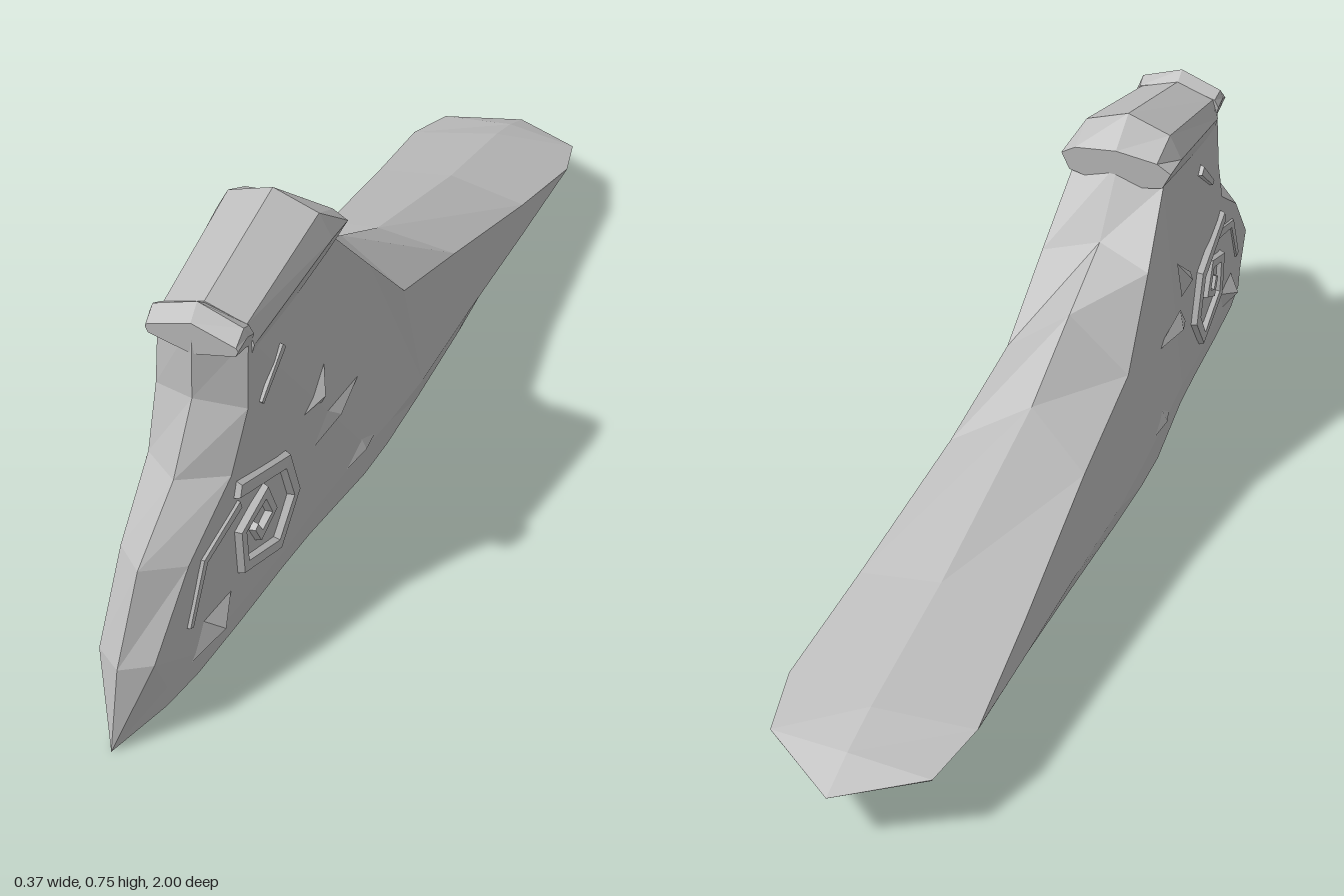
import * as THREE from 'three';

const V = (x, y, z) => new THREE.Vector3(x, y, z);

// Faceted geometry from a list of corner points, three per face
function soup(points) {
  const g = new THREE.BufferGeometry().setFromPoints(points);
  g.computeVertexNormals();
  return g;
}

// Joins closed rings of points into faces; optionally closes both ends
function loft(rings, capped) {
  const out = [], n = rings[0].length;
  const tri = (a, b, c) => {
    const area = b.clone().sub(a).cross(c.clone().sub(a)).length();
    if (area > 1e-7) out.push(a, b, c);
  };
  for (let i = 0; i < rings.length - 1; i++) {
    for (let j = 0; j < n; j++) {
      const k = (j + 1) % n, p = rings[i], q = rings[i + 1];
      tri(p[j], p[k], q[k]);
      tri(p[j], q[k], q[j]);
    }
  }
  if (capped) {
    const first = rings[0], last = rings[rings.length - 1];
    for (let j = 1; j < n - 1; j++) {
      tri(first[0], first[j + 1], first[j]);
      tri(last[0], last[j], last[j + 1]);
    }
  }
  return out;
}

// Half section from top centre to bottom centre, completed by mirroring
function symmetric(half) {
  const other = half.slice(1, -1).reverse().map((p) => V(-p.x, p.y, p.z));
  return [...half, ...other];
}

// One body section; the underside is a shallow V that lifts towards the tail
function bodyRing([ridgeZ, ridgeY, edgeX, edgeY, edgeZ, ledgeX, ledgeY, z]) {
  const baseX = Math.min(ledgeX * 0.97, 0.131, (1 + z) * 1.1);
  const baseY = 0.03 + 0.07 * Math.max(0, -0.2 - z) / 0.8;
  const keelY = 0.1 * Math.max(0, -0.28 - z) / 0.72;
  return symmetric([V(0, ridgeY, ridgeZ), V(edgeX, edgeY, edgeZ), V(ledgeX, ledgeY, z),
    V(baseX, baseY, z), V(0, keelY, z)]);
}

export function createModel() {
  const model = new THREE.Group();
  const stone = new THREE.MeshStandardMaterial({ color: 0xbcbcbc });
  stone.name = 'grey stone';

  const add = (points, name) => {
    const mesh = new THREE.Mesh(soup(points), stone);
    mesh.name = name;
    model.add(mesh);
    return mesh;
  };

  // Front strip and flank: ridge z y, edge x y z, ledge x y z
  const front = [
    [0.96, 0.16, 0.053, 0.16, 0.925, 0.055, 0.075, 0.89],
    [0.87, 0.31, 0.065, 0.295, 0.81, 0.07, 0.08, 0.8],
    [0.73, 0.4, 0.08, 0.39, 0.67, 0.082, 0.075, 0.66],
    [0.65, 0.52, 0.088, 0.5, 0.615, 0.093, 0.07, 0.5],
    [0.64, 0.67, 0.085, 0.64, 0.6, 0.102, 0.08, 0.4],
  ];
  // Long back slope down to the blunt tail
  const back = [
    [0.27, 0.66, 0.096, 0.63, 0.27, 0.13, 0.1, 0.2],
    [0.18, 0.53, 0.112, 0.5, 0.155, 0.136, 0.09, 0.1],
    [0.03, 0.45, 0.128, 0.35, 0.02, 0.142, 0.08, -0.05],
    [-0.15, 0.35, 0.138, 0.28, -0.22, 0.15, 0.093, -0.28],
    [-0.55, 0.225, 0.165, 0.195, -0.55, 0.168, 0.118, -0.55],
    [-0.83, 0.163, 0.183, 0.143, -0.79, 0.18, 0.136, -0.78],
    [-0.92, 0.135, 0.155, 0.122, -0.91, 0.153, 0.119, -0.91],
  ];
  const point = (y, z) => Array.from({ length: 8 }, () => V(0, y, z));
  const body = add(loft([point(0, 1), ...front.map(bodyRing), ...back.map(bodyRing),
    point(0.1, -1)]), 'body');

  // Crown: z, centre height, then upper, widest and lower corners [x,y]
  const crown = (name, rows) => add(loft(rows.map(([z, top, a, b, c]) =>
    symmetric([V(0, top, z), ...[a, b, c].map(([x, y]) => V(x, y, z)), V(0, c[1] - 0.02, z)])), true), name);
  crown('crown', [
    [0.59, 0.685, [0.078, 0.66], [0.091, 0.62], [0.082, 0.585]],
    [0.32, 0.745, [0.088, 0.715], [0.113, 0.667], [0.1, 0.63]],
    [0.257, 0.693, [0.086, 0.683], [0.115, 0.666], [0.098, 0.632]],
  ]);
  crown('crownFrontRim', [
    [0.642, 0.675, [0.083, 0.648], [0.087, 0.642], [0.082, 0.63]],
    [0.615, 0.702, [0.085, 0.672], [0.091, 0.655], [0.086, 0.63]],
    [0.59, 0.682, [0.082, 0.66], [0.091, 0.645], [0.085, 0.62]],
  ]);

  // Outward x of the body's flank at a given z and y
  const flank = (z, y) => {
    const ray = new THREE.Raycaster(V(1, y, z), V(-1, 0, 0));
    const hit = ray.intersectObject(body)[0];
    return hit ? hit.point.x : 0.08;
  };
  const addPair = (points, name) => {
    add(points, name + 'Left');
    add(points.map((p) => V(-p.x, p.y, p.z)).reverse(), name + 'Right');
  };

  // Raised bevelled band along a path of [z,y] points, with tapering width
  function band(path, name, w0, w1, height) {
    const last = path.length - 1;
    const unit = (a, b) => V(0, path[b][1] - path[a][1], path[b][0] - path[a][0]).normalize();
    const rings = path.map(([z, y], i) => {
      const d0 = unit(Math.max(i - 1, 0), Math.max(i, 1));
      const d1 = unit(Math.min(i, last - 1), Math.min(i + 1, last));
      const t = d0.clone().add(d1).normalize();
      const w = (w0 + (w1 - w0) * i / last) / Math.max(0.6, t.dot(d0));
      const x = flank(z, y);
      const at = (s, h) => V(x + h, y - t.z * s * w, z + t.y * s * w);
      return [at(1, -0.015), at(0.55, height), at(-0.55, height), at(-1, -0.015)];
    });
    addPair(loft(rings, true), name);
  }
  band([[0.66, 0.35], [0.5, 0.295], [0.47, 0.2], [0.53, 0.12], [0.65, 0.165], [0.655, 0.25],
    [0.575, 0.28], [0.55, 0.22], [0.595, 0.195], [0.612, 0.228]], 'spiral', 0.022, 0.012, 0.012);
  band([[0.82, 0.16], [0.765, 0.27], [0.65, 0.31]], 'outerCurl', 0.012, 0.018, 0.005);
  band([[0.57, 0.48], [0.49, 0.55]], 'upperChip', 0.01, 0.016, 0.005);

  // Pointed shards standing out of the flank; base corners are [z,y]
  function shard(corners, name, height) {
    const area = corners.reduce((sum, [z, y], i) => {
      const [z2, y2] = corners[(i + 1) % corners.length];
      return sum + y * z2 - y2 * z;
    }, 0);
    const base = (area > 0 ? corners : [...corners].reverse())
      .map(([z, y]) => V(flank(z, y) - 0.003, y, z));
    const tip = base.reduce((s, p) => s.add(p), V(0, 0, 0)).divideScalar(base.length);
    tip.x = flank(tip.z, tip.y) + height;
    addPair(base.flatMap((p, i) => [p, base[(i + 1) % base.length], tip]), name);
  }
  shard([[0.435, 0.34], [0.34, 0.415], [0.36, 0.325]], 'upperShard', 0.016);
  shard([[0.41, 0.235], [0.35, 0.3], [0.2, 0.288]], 'middleShard', 0.014);
  shard([[0.83, 0.07], [0.78, 0.14], [0.68, 0.135], [0.71, 0.08]], 'lowerShard', 0.026);
  shard([[0.29, 0.092], [0.22, 0.14], [0.15, 0.105]], 'ledgePeak', 0.01);

  return model;
}
